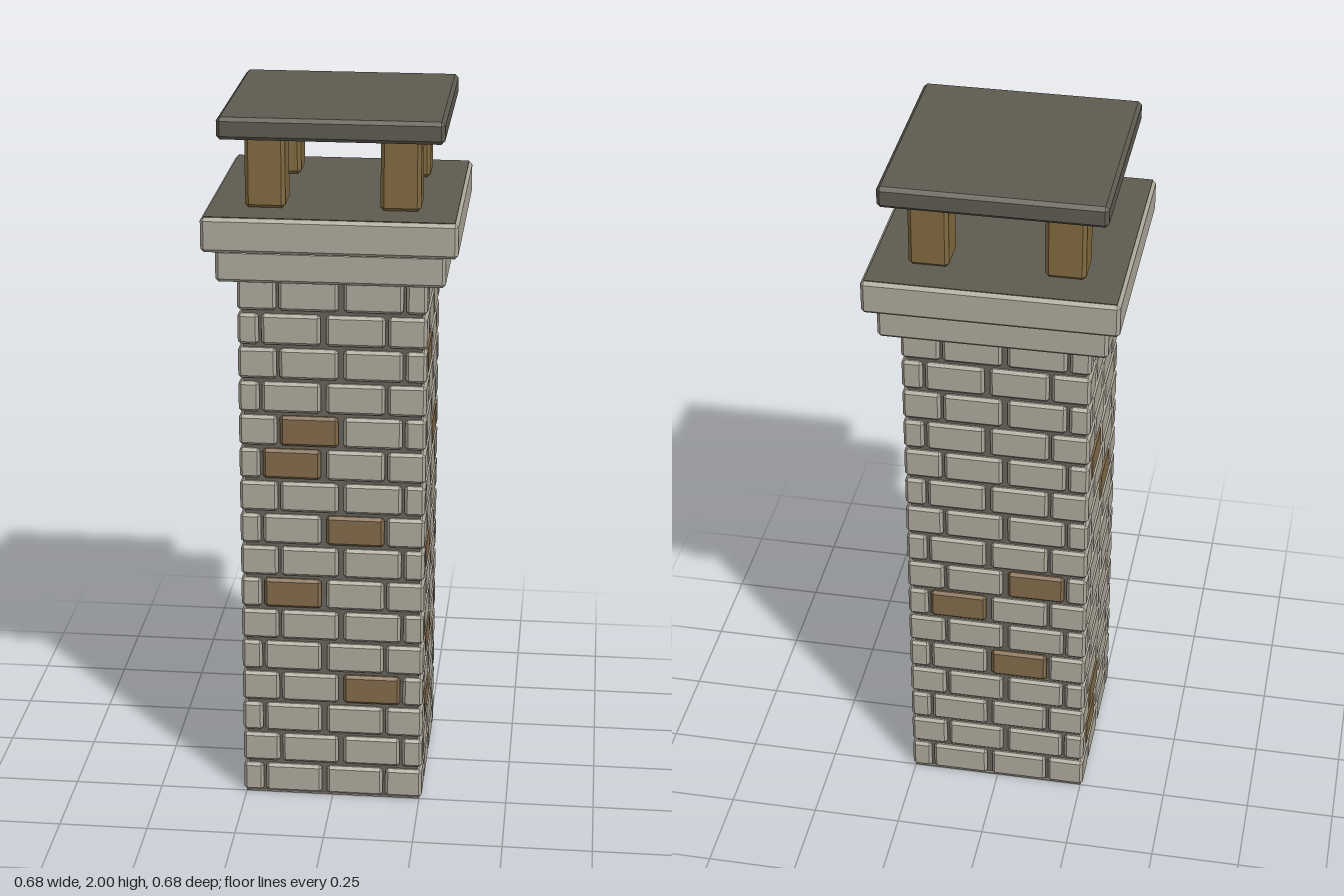
import * as THREE from 'three';
import { ConvexGeometry } from 'three/addons/geometries/ConvexGeometry.js';

const material = (name, color) => {
  const m = new THREE.MeshStandardMaterial({ color });
  m.name = name;
  return m;
};

// Box with flat chamfers on every edge
function chamferBox(w, h, d, b) {
  const pts = [];
  for (const sx of [-1, 1]) for (const sy of [-1, 1]) for (const sz of [-1, 1]) {
    const x = w / 2, y = h / 2, z = d / 2;
    pts.push(
      new THREE.Vector3(sx * x, sy * (y - b), sz * (z - b)),
      new THREE.Vector3(sx * (x - b), sy * y, sz * (z - b)),
      new THREE.Vector3(sx * (x - b), sy * (y - b), sz * z));
  }
  return new ConvexGeometry(pts);
}

export function createModel() {
  const stone = material('paleStone', 0xaca799);
  const brown = material('brownBrick', 0x80694a);
  const mortar = material('mortar', 0x66635a);
  const dark = material('darkSlate', 0x5d5a50);
  const wood = material('postBrown', 0x80683f);

  const model = new THREE.Group();
  model.name = 'chimney';
  const add = (parent, name, geo, mat, x, y, z) => {
    const mesh = new THREE.Mesh(geo, mat);
    mesh.name = name;
    mesh.position.set(x, y, z);
    parent.add(mesh);
    return mesh;
  };

  const ROWS = 16, PITCH = 1.555 / ROWS, BRICK_H = 0.087, HALF = 0.257;
  const rowY = (i) => (i + 0.5) * PITCH;

  // Mortar core and the flat base
  add(model, 'mortarCore', new THREE.BoxGeometry(0.488, 1.555, 0.488), mortar, 0, 0.7785, 0);
  add(model, 'basePlate', new THREE.BoxGeometry(0.5, 0.004, 0.5), stone, 0, 0.002, 0);

  // Two face bricks per row on each side; brown ones are listed as row:slot
  const sides = [
    { name: 'frontBricks', turn: 0, shift: 0, browns: ['3:1', '6:0', '8:1', '10:0', '11:0'] },
    { name: 'leftBricks', turn: 1, shift: 1, browns: ['2:0', '4:0', '7:0', '10:1', '13:0', '15:1'] },
    { name: 'backBricks', turn: 2, shift: 0, browns: ['4:1', '6:0', '7:1'] },
    { name: 'rightBricks', turn: 3, shift: 1, browns: ['1:0', '2:0', '9:1', '11:0'] },
  ];
  const brickGeo = chamferBox(0.161, BRICK_H, 0.06, 0.008);
  for (const side of sides) {
    const wall = new THREE.Group();
    wall.name = side.name;
    wall.rotation.y = side.turn * Math.PI / 2;
    for (let i = 0; i < ROWS; i++) {
      const offset = (i + side.shift) % 2 ? 0.024 : -0.024;
      for (let slot = 0; slot < 2; slot++) {
        const mat = side.browns.includes(`${i}:${slot}`) ? brown : stone;
        add(wall, 'faceBrick', brickGeo, mat, offset + (slot ? 0.088 : -0.088), rowY(i), HALF - 0.03);
      }
    }
    model.add(wall);
  }

  // Corner bricks alternate between large and small
  const corners = new THREE.Group();
  corners.name = 'cornerBricks';
  const large = chamferBox(0.105, BRICK_H, 0.105, 0.008);
  const small = chamferBox(0.057, BRICK_H, 0.057, 0.008);
  for (let i = 0; i < ROWS; i++) for (const sx of [-1, 1]) for (const sz of [-1, 1]) {
    const big = (sx * sz > 0) === (i % 2 === 0);
    const c = HALF - (big ? 0.105 : 0.057) / 2;
    add(corners, 'cornerBrick', big ? large : small, stone, sx * c, rowY(i), sz * c);
  }
  model.add(corners);

  // Stepped stone crown with a dark top
  add(model, 'lowerCrown', chamferBox(0.615, 0.09, 0.615, 0.009), stone, 0, 1.6, 0);
  add(model, 'upperCrown', chamferBox(0.682, 0.095, 0.682, 0.009), stone, 0, 1.6925, 0);
  add(model, 'crownTop', new THREE.BoxGeometry(0.664, 0.003, 0.664), dark, 0, 1.7405, 0);

  // Four posts carrying the lid
  const postGeo = chamferBox(0.108, 0.2, 0.108, 0.01);
  for (const sx of [-1, 1]) for (const sz of [-1, 1])
    add(model, 'lidPost', postGeo, wood, sx * 0.181, 1.841, sz * 0.181);
  add(model, 'lid', chamferBox(0.6, 0.06, 0.6, 0.01), dark, 0, 1.97, 0);

  return model;
}
